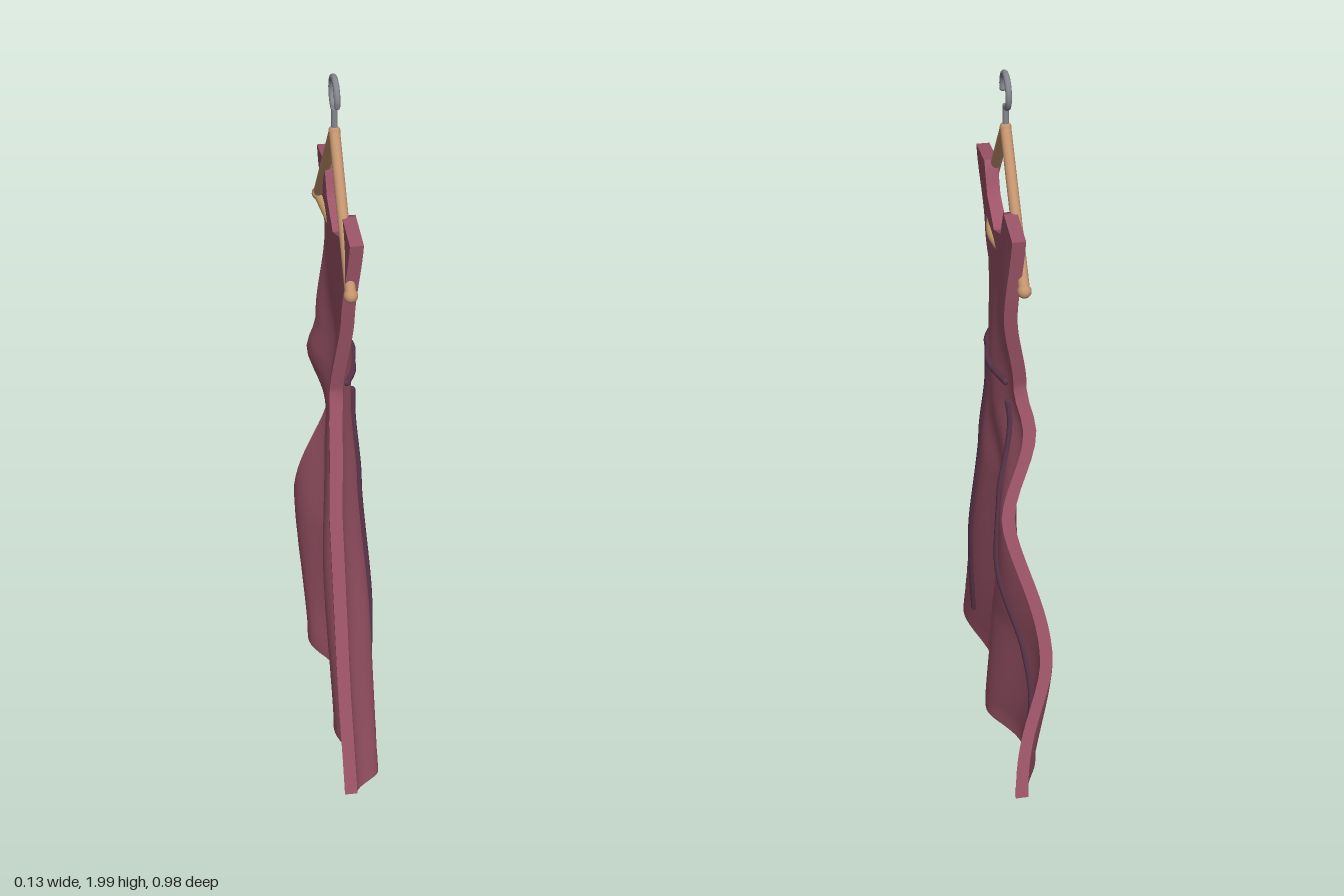
import * as THREE from 'three';

const { lerp } = THREE.MathUtils;
const ease = (t) => t * t * (3 - 2 * t);

// Interpolate a table of [key, value] pairs; smooth = eased between keys
const lookup = (table, k, smooth = false) => {
  if (k <= table[0][0]) return table[0][1];
  for (let i = 1; i < table.length; i++) {
    const [k0, a] = table[i - 1], [k1, b] = table[i];
    if (k <= k1) {
      const t = (k - k0) / (k1 - k0);
      return lerp(a, b, smooth ? ease(t) : t);
    }
  }
  return table[table.length - 1][1];
};

// Outline of the dress: half width by height, hem and neckline by u (-1..1 across)
const HALF = [[0, 0.512], [0.09, 0.488], [0.78, 0.3], [1.2, 0.178], [1.5, 0.23], [1.69, 0.256]];
const HEM = [[-1, 0.08], [-0.62, 0.02], [-0.27, 0.025], [0.22, 0.004], [0.68, 0.035], [1, 0.09]];
const NECK = [[0, 1.565], [0.4, 1.61], [0.52, 1.69], [1, 1.675]];
const WAIST = 1.2, WAIST_V = 0.6, THICK = 0.034;

// Folds of the cloth: six slanting ridges and troughs as [u, sideways drift] at each height
const FOLDS = [
  [0.05, [[-1, 0.038], [-0.45, -0.03], [-0.11, 0.043], [0.3, -0.015], [0.72, 0.04], [1, -0.04]]],
  [0.45, [[-1.4, 0.05], [-0.97, -0.046], [-0.3, 0.035], [0.05, -0.022], [0.52, 0.042], [1, -0.046]]],
  [0.85, [[-1.8, 0.04], [-1.5, -0.04], [-0.95, 0.04], [-0.2, -0.005], [0.25, 0.03], [1, -0.046]]],
  [1.09, [[-2, -0.03], [-1.5, -0.03], [-1, -0.03], [-0.15, 0.021], [0.3, 0.01], [1, -0.036]]],
  [1.2, [[-2, -0.01], [-1.5, -0.01], [-1, -0.01], [-0.15, 0.024], [0.3, 0.012], [1, -0.03]]],
  [1.45, [[-2, 0.022], [-1.5, 0.022], [-1, 0.022], [-0.2, 0.008], [0.3, 0.005], [1, -0.008]]],
  [1.69, [[-2, 0.008], [-1.5, 0.008], [-1, 0.008], [-0.2, 0.008], [0.3, 0.008], [1, 0.008]]],
];
function fold(u, y) {
  let i = 1;
  while (i < FOLDS.length - 1 && y > FOLDS[i][0]) i++;
  const [y0, low] = FOLDS[i - 1], [y1, high] = FOLDS[i];
  const t = THREE.MathUtils.clamp((y - y0) / (y1 - y0), 0, 1);
  return lookup(low.map(([k, x], n) => [lerp(k, high[n][0], t), lerp(x, high[n][1], ease(t))]), u, true);
}

function clothPoint(u, v, side) {
  const y = v < WAIST_V
    ? lerp(lookup(HEM, u), WAIST, v / WAIST_V)
    : lerp(WAIST, lookup(NECK, Math.abs(u)), (v - WAIST_V) / (1 - WAIST_V));
  return [fold(u, y) + side * THICK / 2, y, u * lookup(HALF, y)];
}

// Grid surface from a point rule
function patch(ns, nt, rule, flip) {
  const pos = [], idx = [];
  for (let j = 0; j <= nt; j++) for (let i = 0; i <= ns; i++) pos.push(...rule(i / ns, j / nt));
  for (let j = 0; j < nt; j++) for (let i = 0; i < ns; i++) {
    const a = j * (ns + 1) + i, b = a + 1, c = a + ns + 1, d = c + 1;
    if (flip) idx.push(a, c, b, b, c, d);
    else idx.push(a, b, c, b, d, c);
  }
  const g = new THREE.BufferGeometry();
  g.setAttribute('position', new THREE.Float32BufferAttribute(pos, 3));
  g.setIndex(idx);
  g.computeVertexNormals();
  return g;
}

export function createModel() {
  const model = new THREE.Group();
  const material = (name, color) => {
    const m = new THREE.MeshStandardMaterial({ color });
    m.name = name;
    return m;
  };
  const cloth = material('rose cloth', 0x9c5468);
  const trim = material('dark plum trim', 0x583348);
  const wood = material('warm wood', 0xc4946e);
  const paleWood = material('pale wood', 0xc69f69);
  const metal = material('grey metal', 0x85898f);

  const add = (name, geometry, mat, parent = model) => {
    const mesh = new THREE.Mesh(geometry, mat);
    mesh.name = name;
    parent.add(mesh);
    return mesh;
  };
  const vec = (p) => new THREE.Vector3(...p);
  const tube = (name, points, r, mat, parent) => add(name,
    new THREE.TubeGeometry(new THREE.CatmullRomCurve3(points.map(vec)), 48, r, 10), mat, parent);
  const rod = (name, from, to, r, mat, parent) => {
    const a = vec(from), d = vec(to).sub(a);
    const mesh = add(name, new THREE.CylinderGeometry(r, r, d.length(), 14), mat, parent);
    mesh.position.copy(a).addScaledVector(d, 0.5);
    mesh.quaternion.setFromUnitVectors(new THREE.Vector3(0, 1, 0), d.normalize());
  };

  // Dress: two cloth faces joined by edge strips
  const dress = new THREE.Group();
  dress.name = 'dress';
  model.add(dress);
  const U = (s) => s * 2 - 1;
  add('outerCloth', patch(50, 50, (s, t) => clothPoint(U(s), t, 1), true), cloth, dress);
  add('innerCloth', patch(50, 50, (s, t) => clothPoint(U(s), t, -1), false), cloth, dress);
  add('hemEdge', patch(50, 1, (s, t) => clothPoint(U(s), 0, U(t)), true), cloth, dress);
  add('neckEdge', patch(50, 1, (s, t) => clothPoint(U(s), 1, U(t)), false), cloth, dress);
  add('frontSideEdge', patch(50, 1, (s, t) => clothPoint(1, s, U(t)), true), cloth, dress);
  add('backSideEdge', patch(50, 1, (s, t) => clothPoint(-1, s, U(t)), false), cloth, dress);

  // Waistband and skirt seams follow the outer cloth
  const seam = (name, path, r) => {
    const points = [];
    for (let i = 0; i <= 24; i++) {
      const f = i / 24 * (path.length - 1), k = Math.min(Math.floor(f), path.length - 2);
      const z = lerp(path[k][0], path[k + 1][0], f - k);
      const y = lerp(path[k][1], path[k + 1][1], f - k);
      points.push([fold(z / lookup(HALF, y), y) + THICK / 2 + 0.003, y, z]);
    }
    tube(name, points, r, trim, dress);
    for (const end of [points[0], points[24]]) {
      add(name + 'End', new THREE.SphereGeometry(r, 10, 8), trim, dress).position.set(...end);
    }
  };
  seam('waistband', [[0.13, 1.195], [-0.13, 1.195]], 0.01);
  seam('frontSeam', [[0.07, 1.13], [0.14, 0.7], [0.243, 0.15]], 0.008);
  seam('backSeam', [[-0.13, 1.13], [-0.23, 0.65], [-0.345, 0.155]], 0.008);

  // Wooden hanger: two arms, rounded ends and a crossbar
  const hanger = new THREE.Group();
  hanger.name = 'hanger';
  model.add(hanger);
  for (const s of [1, -1]) {
    rod('hangerArm', [-0.005, 1.85, 0], [-0.006, 1.535, s * 0.25], 0.014, wood, hanger);
    add('armEnd', new THREE.SphereGeometry(0.018, 14, 10), wood, hanger).position.set(-0.006, 1.534, s * 0.25);
  }
  add('hangerPeak', new THREE.SphereGeometry(0.015, 14, 10), wood, hanger).position.set(-0.005, 1.85, 0);
  tube('crossbar', [[-0.006, 1.527, -0.255], [0.01, 1.527, -0.05], [0.022, 1.527, 0.05],
    [0.006, 1.527, 0.145], [-0.008, 1.527, 0.255]], 0.012, paleWood, hanger);

  // Metal hook: stem and open curl
  rod('hookStem', [-0.005, 1.85, 0], [-0.005, 1.912, 0], 0.008, metal, hanger);
  const curl = [];
  for (let i = 0; i <= 16; i++) {
    const a = -Math.PI / 2 + i / 16 * Math.PI * 1.6;
    curl.push([-0.005, 1.95 + 0.042 * Math.sin(a), -0.042 * Math.cos(a)]);
  }
  tube('hookCurl', curl, 0.008, metal, hanger);
  add('hookTip', new THREE.SphereGeometry(0.008, 10, 8), metal, hanger).position.set(...curl[16]);
  return model;
}
